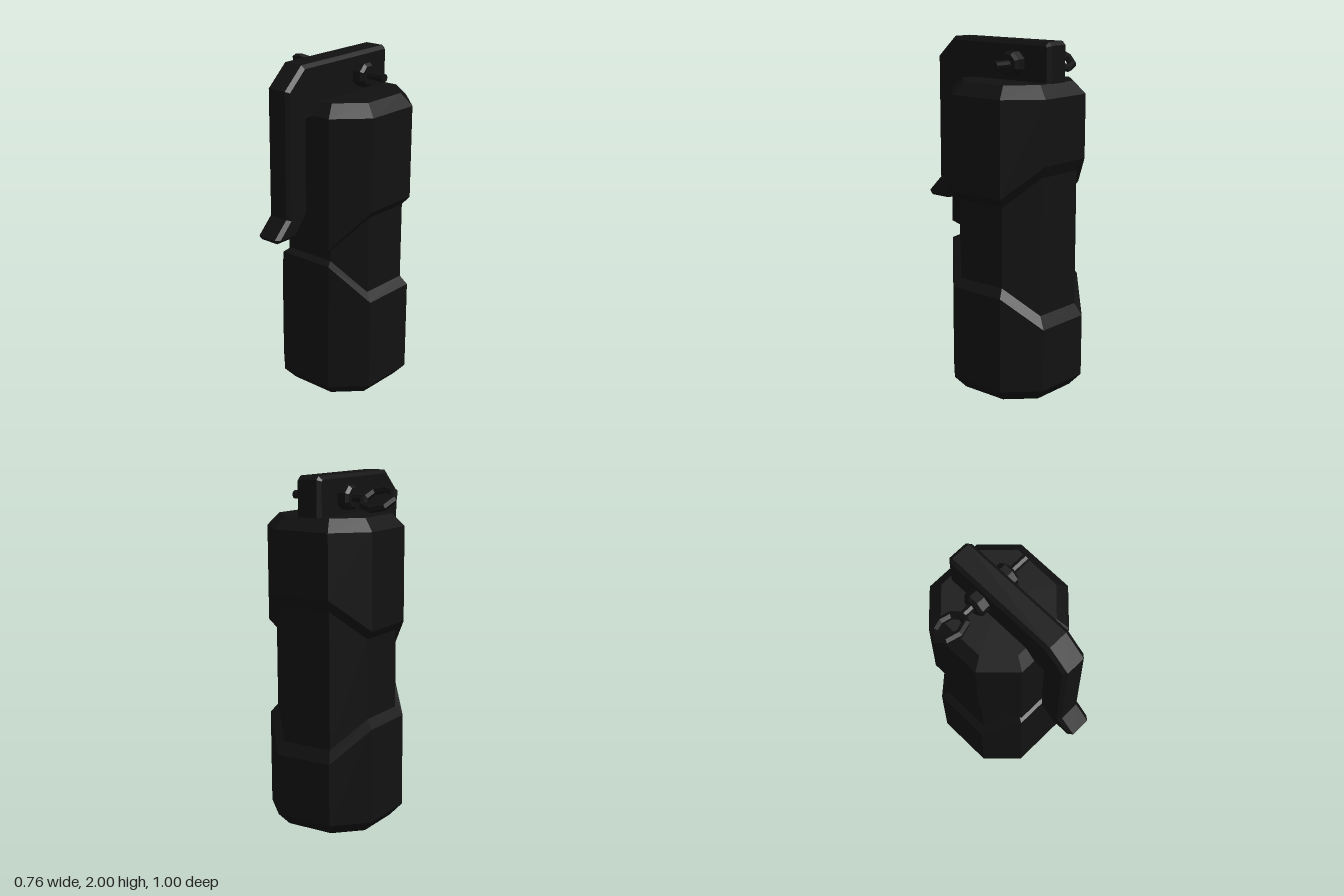
import * as THREE from 'three';

const material = new THREE.MeshStandardMaterial({ color: 0x111111, flatShading: true });

function add(group, name, geometry) {
  const mesh = new THREE.Mesh(geometry, material);
  mesh.name = name;
  group.add(mesh);
  return mesh;
}

// Eight-sided body: each ring is [scale, y at front, y at sides, y at back].
function bodyGeometry() {
  const a = 0.345, b = 0.174;
  const corners = [[b, a], [a, b], [a, -b], [b, -a], [-b, -a], [-a, -b], [-a, b], [-b, a]];
  const rings = [
    [0, 0, 0, 0],
    [0.82, 0, 0, 0],
    [1, 0.07, 0.07, 0.07],
    [1, 0.845, 0.615, 0.43],
    [0.885, 0.865, 0.665, 0.5],
    [0.885, 0.925, 1.12, 1.28],
    [1, 0.945, 1.17, 1.35],
    [1, 1.71, 1.71, 1.71],
    [0.82, 1.78, 1.78, 1.78],
    [0, 1.78, 1.78, 1.78],
  ];
  const point = (r, i) => {
    const [x, z] = corners[i % 8];
    const [s, front, side, back] = rings[r];
    return [x * s, z === a ? front : z === -a ? back : side, z * s];
  };
  const positions = [];
  for (let r = 0; r < rings.length - 1; r++) {
    for (let i = 0; i < 8; i++) {
      const p = point(r, i), q = point(r, i + 1), t = point(r + 1, i + 1), u = point(r + 1, i);
      if (rings[r][0] > 0) positions.push(...p, ...q, ...t);
      else positions.push(...p, ...t, ...u);
      if (rings[r][0] > 0 && rings[r + 1][0] > 0) positions.push(...p, ...t, ...u);
    }
  }
  const geometry = new THREE.BufferGeometry();
  geometry.setAttribute('position', new THREE.Float32BufferAttribute(positions, 3));
  geometry.computeVertexNormals();
  return geometry;
}

// Head and lever in one bevelled side profile, given as [z, y].
function leverGeometry() {
  const profile = [
    [-0.44, 1.7], [-0.44, 1.98], [-0.42, 2], [0.27, 2], [0.4, 1.88], [0.4, 1.16],
    [0.495, 1.065], [0.475, 1.04], [0.34, 1.04], [0.242, 1.16], [0.242, 1.69], [0.1, 1.69],
  ];
  const bevel = 0.02, width = 0.155;
  const shape = new THREE.Shape(profile.map(([z, y]) => new THREE.Vector2(z, y)));
  const geometry = new THREE.ExtrudeGeometry(shape, {
    depth: width - 2 * bevel, bevelThickness: bevel, bevelSize: bevel, bevelOffset: -bevel, bevelSegments: 1,
  });
  geometry.translate(0, 0, -(width / 2 - bevel));
  geometry.rotateY(-Math.PI / 2);
  return geometry;
}

export function createModel() {
  const model = new THREE.Group();
  model.name = 'canister';

  add(model, 'body', bodyGeometry()).position.set(0.035, 0, -0.155);
  add(model, 'lever', leverGeometry()).position.x = 0.028;

  // Safety pin running across the head
  const pin = new THREE.Group();
  pin.name = 'safetyPin';
  pin.position.set(0, 1.875, -0.2);
  model.add(pin);

  const rod = add(pin, 'pinRod', new THREE.CylinderGeometry(0.024, 0.024, 0.46, 8));
  rod.rotation.z = -Math.PI / 2;
  rod.position.x = 0.05;

  // Chamfered collar around the rod
  const collar = [[0, -0.143], [0.055, -0.143], [0.072, -0.127], [0.072, 0.127], [0.055, 0.143], [0, 0.143]];
  const boss = add(pin, 'pinCollar', new THREE.LatheGeometry(collar.map(([r, y]) => new THREE.Vector2(r, y)), 8));
  boss.rotation.set(0, Math.PI / 8, -Math.PI / 2, 'ZXY');
  boss.position.x = 0.028;

  // Tilted pull ring
  const ring = add(pin, 'pullRing', new THREE.TorusGeometry(0.091, 0.023, 6, 8));
  ring.rotation.x = 1.0;
  ring.position.x = -0.27;

  return model;
}
